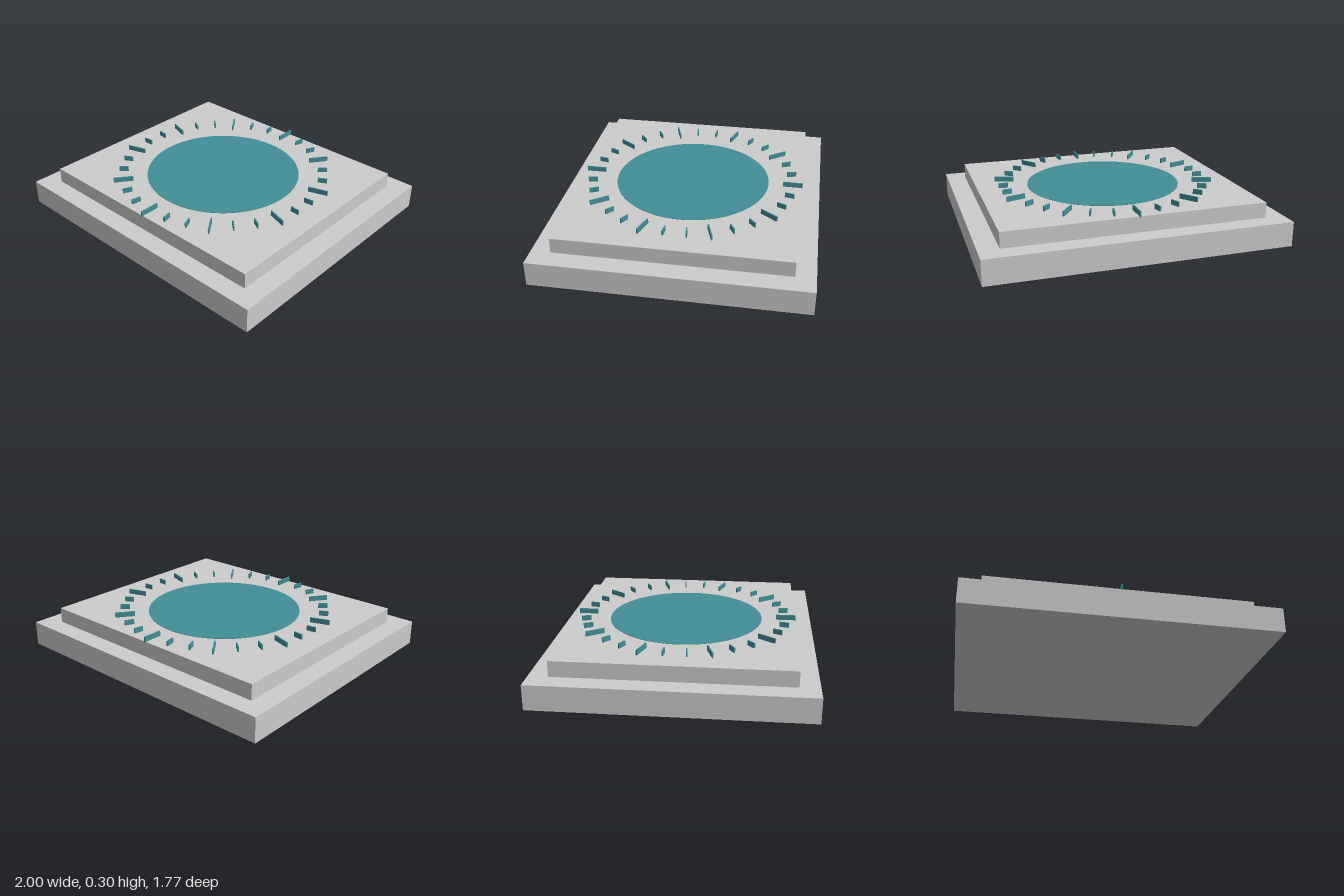
import * as THREE from 'three';

const BASE_TOP = 0.166;
const PLINTH_TOP = 0.27;
const TICK_COUNT = 30;

export function createModel() {
  const model = new THREE.Group();
  model.name = 'dialPlinth';
  const grey = new THREE.MeshStandardMaterial({ color: 0xcccccc });
  const teal = new THREE.MeshStandardMaterial({ color: 0x428d96 });

  // Adds a box standing between two heights
  const addBox = (parent, name, material, width, depth, bottom, top, z = 0) => {
    const mesh = new THREE.Mesh(new THREE.BoxGeometry(width, top - bottom, depth), material);
    mesh.name = name;
    mesh.position.set(0, (bottom + top) / 2, z);
    parent.add(mesh);
    return mesh;
  };

  // Two stepped slabs
  addBox(model, 'baseSlab', grey, 2, 1.77, 0, BASE_TOP);
  addBox(model, 'upperSlab', grey, 1.736, 1.514, BASE_TOP, PLINTH_TOP);

  // Thin round inlay, almost flush with the upper slab
  const disc = new THREE.Mesh(new THREE.CylinderGeometry(0.528, 0.528, 0.012, 96), teal);
  disc.name = 'disc';
  disc.position.y = PLINTH_TOP - 0.004;
  model.add(disc);

  // Ring of raised tick marks, every third one long
  const ticks = new THREE.Group();
  ticks.name = 'tickMarks';
  for (let i = 0; i < TICK_COUNT; i++) {
    const long = i % 3 === 0;
    const arm = new THREE.Group();
    arm.name = long ? 'longTick' : 'shortTick';
    arm.rotation.y = (i / TICK_COUNT) * Math.PI * 2;
    addBox(arm, 'tickBar', teal, 0.009, long ? 0.134 : 0.064, PLINTH_TOP - 0.005, 0.304, -0.695);
    ticks.add(arm);
  }
  model.add(ticks);

  return model;
}
